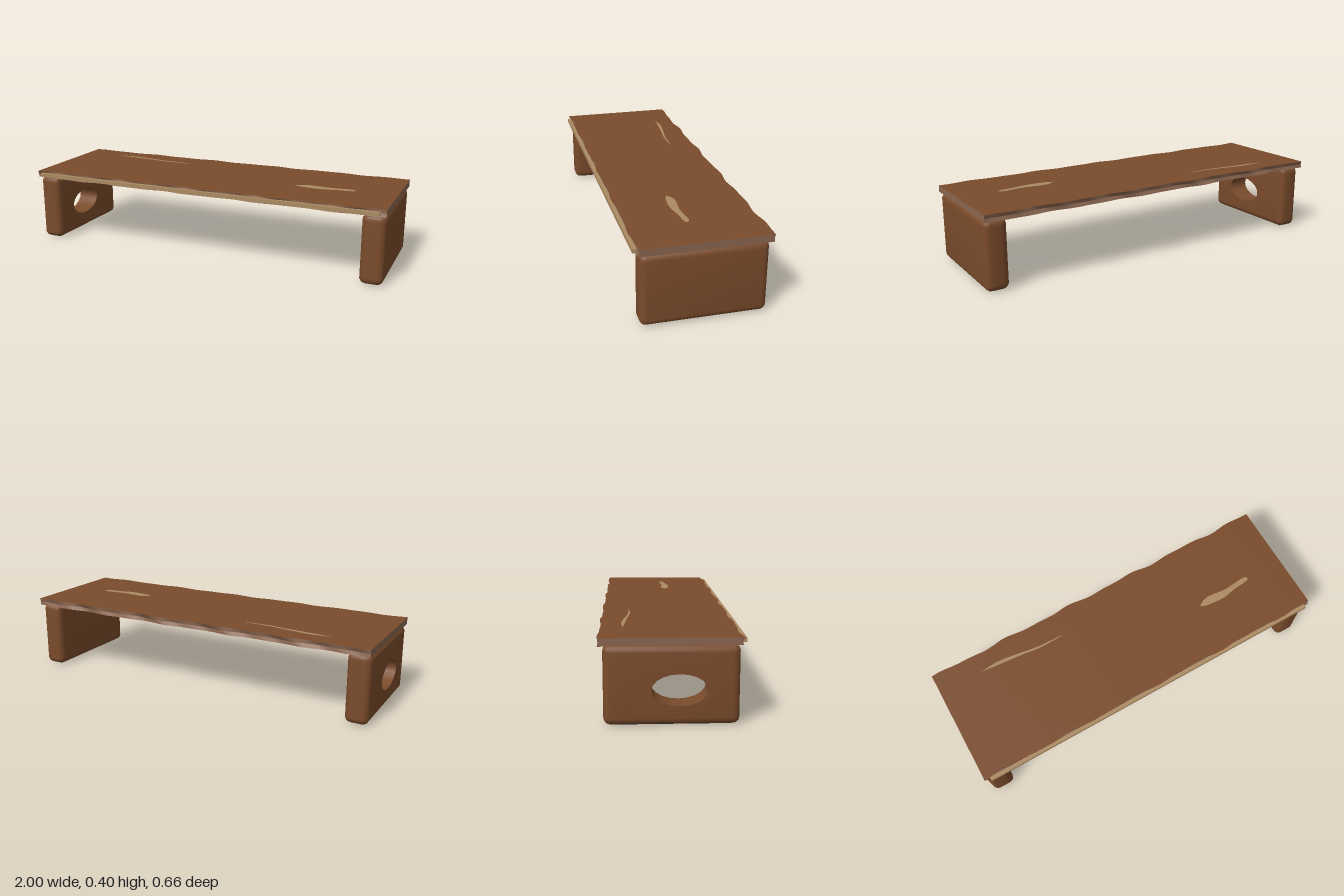
import * as THREE from 'three';
import { toCreasedNormals } from 'three/addons/utils/BufferGeometryUtils.js';

const material = (name, color, side = THREE.FrontSide) => {
  const m = new THREE.MeshStandardMaterial({ color, side });
  m.name = name;
  return m;
};

function addMesh(parent, name, geometry, mat) {
  const mesh = new THREE.Mesh(geometry, mat);
  mesh.name = name;
  parent.add(mesh);
  return mesh;
}

// Board with wavy natural edges: six-point cross-sections swept along x.
// Groups: 0 = wood faces, 1 = rough edges and ends.
function boardGeometry() {
  const n = 90, top = 0.4, bottom = 0.365;
  const wave = (x, p) => 0.005 * Math.sin(x * 17 + p) + 0.003 * Math.sin(x * 31 + p * 2.3);
  const section = (x) => [
    [top, 0.312 + wave(x, 0.4)],
    [0.383, 0.309 + wave(x, 1.1)],
    [bottom, 0.317 + wave(x, 1.8)],
    [bottom - 0.001, -0.323 + wave(x, 2.9)],
    [0.382, -0.316 + wave(x, 2.2)],
    [top + 0.001, -0.321 + wave(x, 1.5)],
  ].map(([y, z]) => [x, y, z]);
  const rows = Array.from({ length: n + 1 }, (_, i) => section(-1 + (2 * i) / n));
  const wood = [], rough = [];
  for (let i = 0; i < n; i++) {
    for (let j = 0; j < 6; j++) {
      const k = (j + 1) % 6, a = rows[i], b = rows[i + 1];
      const list = j === 2 || j === 5 ? wood : rough;
      list.push(...a[j], ...a[k], ...b[k], ...a[j], ...b[k], ...b[j]);
    }
  }
  // End caps, as fans around a centre point
  for (const [row, flip] of [[rows[0], true], [rows[n], false]]) {
    const c = [row[0][0], 0.382, 0];
    for (let j = 0; j < 6; j++) {
      const p = row[j], q = row[(j + 1) % 6];
      rough.push(...c, ...(flip ? q : p), ...(flip ? p : q));
    }
  }
  const g = new THREE.BufferGeometry();
  g.setAttribute('position', new THREE.Float32BufferAttribute([...wood, ...rough], 3));
  g.addGroup(0, wood.length / 3, 0);
  g.addGroup(wood.length / 3, rough.length / 3, 1);
  g.computeVertexNormals();
  return g;
}

// Slab leg with rounded outer edges and an optional oval grip hole
function legGeometry(withHole) {
  const w = 0.304, h = 0.181, r = 0.032, depth = 0.12, steps = 9;
  const s = new THREE.Shape();
  s.absarc(w - r, h - r, r, 0, Math.PI / 2);
  s.absarc(-w + r, h - r, r, Math.PI / 2, Math.PI);
  s.absarc(-w + r, -h + r, r, Math.PI, Math.PI * 1.5);
  s.absarc(w - r, -h + r, r, Math.PI * 1.5, Math.PI * 2);
  if (withHole) {
    const hole = new THREE.Path();
    hole.absellipse(0.035, -0.02, 0.126, 0.073, 0, Math.PI * 2, true);
    s.holes.push(hole);
  }
  const g = new THREE.ExtrudeGeometry(s, { depth, steps, bevelEnabled: false, curveSegments: 10 });
  const p = g.attributes.position;
  for (let i = 0; i < p.count; i++) {
    const k = Math.round((p.getZ(i) / depth) * steps);
    const a = (Math.min(k, steps - k) / 4) * (Math.PI / 2);
    const d = r * (1 - Math.cos(a));
    const scale = Math.max(Math.sin(a), 0.01);
    const x = p.getX(i), y = p.getY(i);
    const cx = THREE.MathUtils.clamp(x, -w + r, w - r);
    const cy = THREE.MathUtils.clamp(y, -h + r, h - r);
    p.setXYZ(i, cx + (x - cx) * scale, cy + (y - cy) * scale,
      (k < 5 ? d : depth - d) - depth / 2);
  }
  g.rotateY(-Math.PI / 2);
  return toCreasedNormals(g, 0.6);
}

// Filler inlay: an outline in (x, z) smoothed and extruded upward from y0 to y1
function inlayGeometry(points, y0, y1) {
  const curve = new THREE.SplineCurve([...points, points[0]].map(([x, z]) => new THREE.Vector2(x, -z)));
  const g = new THREE.ExtrudeGeometry(new THREE.Shape(curve.getPoints(40)), {
    depth: y1 - y0, bevelEnabled: false,
  });
  g.rotateX(-Math.PI / 2);
  g.translate(0, y0, 0);
  return g;
}

export function createModel() {
  const group = new THREE.Group();
  group.name = 'desktopRiser';
  const wood = material('walnut', 0x7a4b2b);
  const bark = material('rough edge', 0x8a6650);
  const tan = material('tan filler', 0xab8a62, THREE.DoubleSide);
  const black = material('black pad', 0x1c1c1e);

  addMesh(group, 'board', boardGeometry(), [wood, bark]);

  // Light strip along the front edge
  const strip = addMesh(group, 'frontStrip', new THREE.BoxGeometry(1.94, 0.02, 0.02), tan);
  strip.position.set(0, 0.382, 0.322);

  // Filled knots in the board
  addMesh(group, 'longInlay', inlayGeometry([
    [-0.76, -0.215], [-0.66, -0.225], [-0.55, -0.212], [-0.42, -0.193], [-0.28, -0.188],
    [-0.41, -0.182], [-0.52, -0.194], [-0.62, -0.203],
  ], 0.398, 0.4025), tan);
  addMesh(group, 'shortInlay', inlayGeometry([
    [0.46, 0.04], [0.52, 0.013], [0.64, 0.022], [0.76, 0.012], [0.775, 0.035],
    [0.68, 0.048], [0.6, 0.062], [0.5, 0.055],
  ], 0.3625, 0.4025), tan);

  // Legs with dark pads underneath
  for (const [name, side] of [['left', 1], ['right', -1]]) {
    const leg = addMesh(group, name + 'Leg', legGeometry(side < 0), wood);
    leg.position.set(side * 0.938, 0.184, 0);
    const pad = addMesh(group, name + 'Pad', new THREE.BoxGeometry(0.056, 0.008, 0.54), black);
    pad.position.set(side * 0.938, 0.004, 0);
  }
  return group;
}
